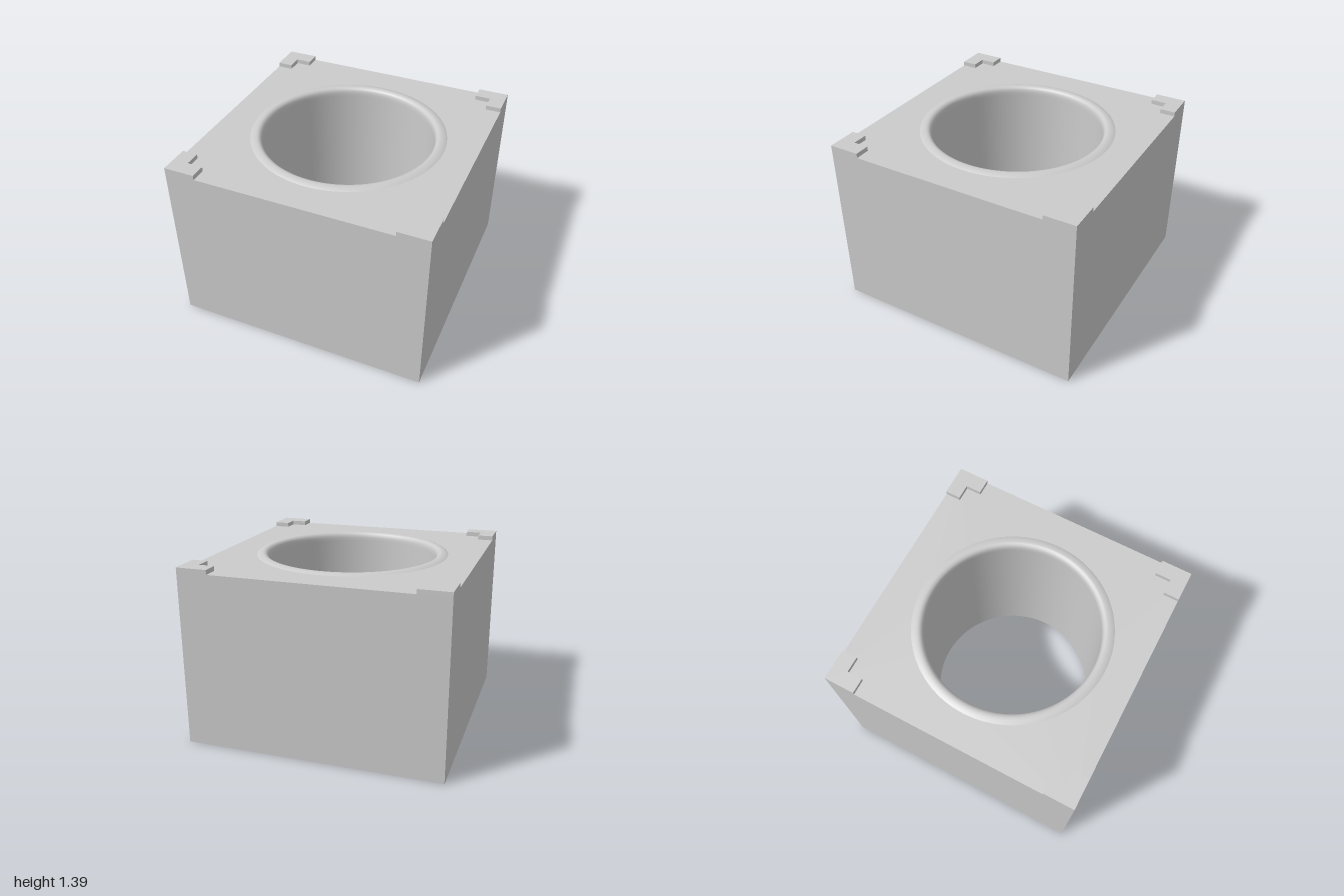
import * as THREE from 'three';

const BODY_TOP = 1.355, TOP = 1.39, BORE = 0.665, HOLE = 0.69;

// Extrude an (x, -z) outline upward from y0 to y1
function slab(shape, y0, y1) {
  const geo = new THREE.ExtrudeGeometry(shape, { depth: y1 - y0, bevelEnabled: false });
  return geo.rotateX(-Math.PI / 2).translate(0, y0, 0);
}

const outline = (pts) => new THREE.Shape(pts.map(([x, y]) => new THREE.Vector2(x, y)));

export function createModel() {
  const group = new THREE.Group();
  const material = new THREE.MeshStandardMaterial({ color: 0xcccccc });
  const add = (name, geometry) => {
    const mesh = new THREE.Mesh(geometry, material);
    mesh.name = name;
    group.add(mesh);
    return mesh;
  };

  // Square block with a faceted through hole
  const square = outline([[-1, -1], [1, -1], [1, 1], [-1, 1]]);
  const hole = new THREE.Path();
  const sides = 24;
  hole.setFromPoints(Array.from({ length: sides }, (_, i) => {
    const a = -(i / sides) * Math.PI * 2;
    return new THREE.Vector2(Math.cos(a) * HOLE, Math.sin(a) * HOLE);
  }));
  square.holes.push(hole);
  add('block', slab(square, 0, BODY_TOP));

  // Smooth bore lining with a softly raised lip at the top
  const lining = [
    [0.76, BODY_TOP - 0.002], [0.745, 1.361], [0.725, 1.367], [0.705, 1.37],
    [0.69, 1.367], [0.677, 1.358], [0.669, 1.345], [BORE, 1.325], [BORE, 1.3], [BORE, 0.01],
  ].map(([r, y]) => new THREE.Vector2(r, y));
  add('boreLining', new THREE.LatheGeometry(lining, 96));

  // Narrow ledge closing the gap under the lining
  const ledge = new THREE.RingGeometry(BORE, HOLE + 0.005, 96);
  add('boreLedge', ledge.rotateX(Math.PI / 2).translate(0, 0.01, 0));

  // L-shaped bracket on each top corner
  const bracket = slab(outline([
    [1, 1], [0.76, 1], [0.76, 0.88], [0.88, 0.88], [0.88, 0.76], [1, 0.76],
  ]), BODY_TOP, TOP);
  for (let i = 0; i < 4; i++) add('cornerBracket' + (i + 1), bracket).rotation.y = i * Math.PI / 2;

  return group;
}
